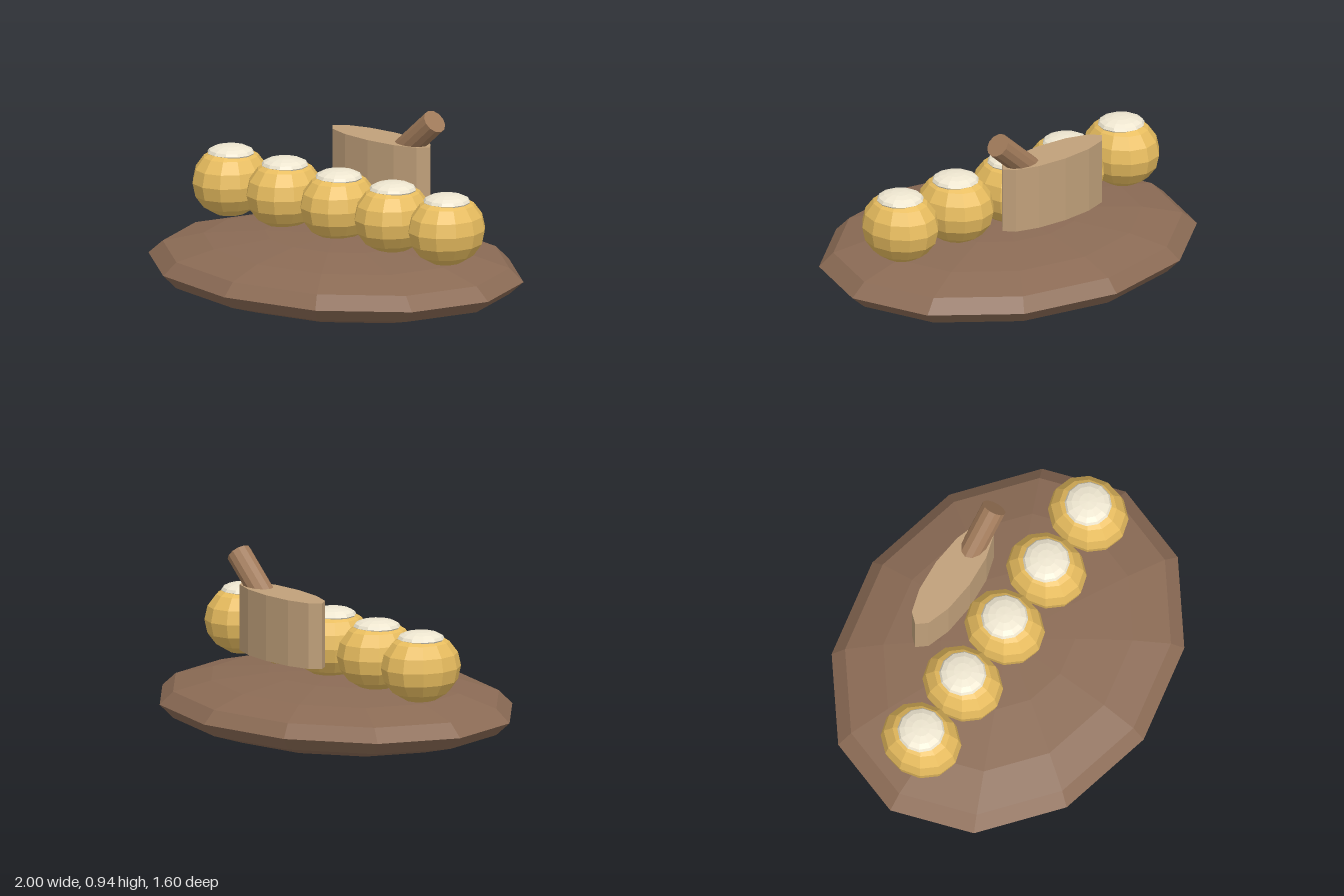
import * as THREE from 'three';

function part(name, geometry, color, position) {
  const flat = geometry.index ? geometry.toNonIndexed() : geometry;
  flat.computeVertexNormals();
  const mesh = new THREE.Mesh(flat, new THREE.MeshStandardMaterial({ color, flatShading: true }));
  mesh.name = name;
  mesh.position.set(...position);
  return mesh;
}

// Low-poly ellipsoid with the given half sizes
const ellipsoid = (rx, ry, rz) => new THREE.SphereGeometry(1, 12, 8).scale(rx, ry, rz);

export function createModel() {
  const model = new THREE.Group();
  model.name = 'servedDish';

  // Flattened oval base
  model.add(part('plate', ellipsoid(1, 0.17, 0.8), 0x8b6b55, [0, 0.172, 0]));

  // Row of five balls, each with a pale cap
  for (let i = -2; i <= 2; i++) {
    const dumpling = new THREE.Group();
    dumpling.name = 'cappedBall';
    dumpling.position.set(i * 0.355, 0.48, -0.02);
    dumpling.add(part('ball', ellipsoid(0.18, 0.175, 0.203), 0xe8bd5f, [0, 0, 0]));
    dumpling.add(part('cap', ellipsoid(0.115, 0.037, 0.115), 0xeee6d0, [0, 0.141, 0]));
    model.add(dumpling);
  }

  // Oval block behind the row; apexes along x
  const block = new THREE.CylinderGeometry(1, 1, 0.325, 12).scale(0.32, 1, 0.1);
  model.add(part('block', block, 0xc0a07a, [0, 0.6025, -0.325]));

  // Slanted stick rising out of the block
  const length = 0.42, tilt = 0.85;
  const stick = part('stick', new THREE.CylinderGeometry(0.0615, 0.0615, length, 12), 0xa07a5a, [
    0.35 - Math.sin(tilt) * length / 2,
    0.9 - Math.cos(tilt) * length / 2,
    -0.325,
  ]);
  stick.rotation.z = -tilt;
  model.add(stick);

  return model;
}
